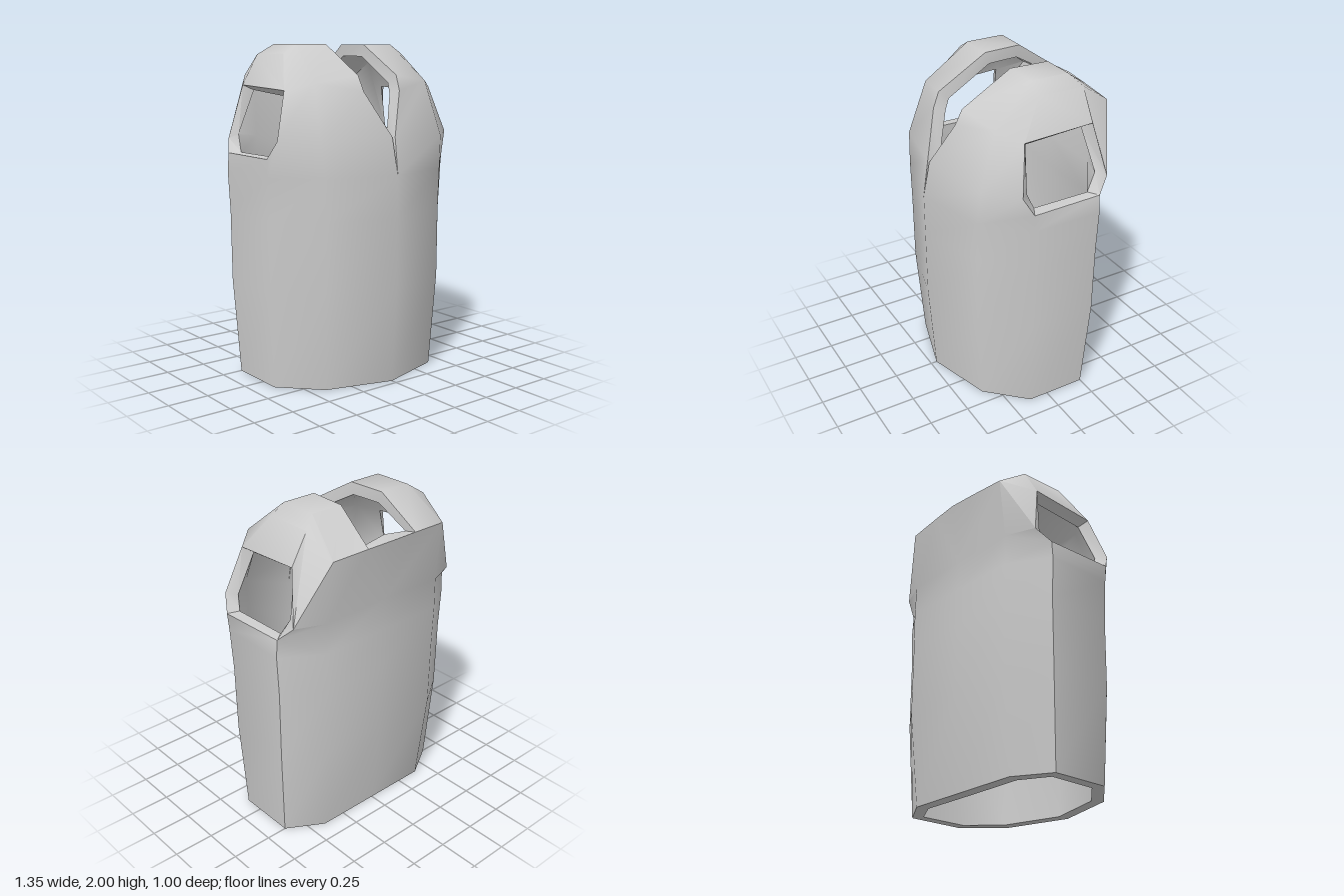
import * as THREE from 'three';
import { toCreasedNormals } from 'three/addons/utils/BufferGeometryUtils.js';

const THICKNESS = 0.075;

// Named corners of the left half of the outer surface.
const corners = {
  // front neckline
  V1: [0.01, 1.47, 0.46], V2: [0.135, 1.73, 0.35], V3: [0.143, 1.82, 0.31],
  // chest
  F1: [0.455, 1.45, 0.37], F2: [0.42, 1.78, 0.26],
  // armhole
  B2: [0.675, 1.36, 0.155], H1: [0.64, 1.46, 0.21], H3: [0.55, 1.74, 0.15],
  H4: [0.55, 1.76, -0.29], H2: [0.61, 1.44, -0.365], B3: [0.66, 1.36, -0.285],
  // shoulder strap
  T0: [0.143, 2, 0], T1: [0.36, 2, 0], T2: [0.45, 1.945, 0],
  S0: [0.155, 2, -0.24], S1: [0.36, 2, -0.24], S2: [0.445, 1.94, -0.29],
  // back
  N0: [0, 1.83, -0.5], N1: [0.18, 1.825, -0.49], N2: [0.42, 1.815, -0.475],
  K0: [0, 1.45, -0.437], K1: [0.43, 1.44, -0.437],
};

const faces = [
  'L30 L31 F1 V1', 'L31 L32 B2 H1', 'L31 H1 F1', 'L32 L33 B3 B2',
  'V1 F1 F2 V2', 'V2 F2 V3', 'F1 H1 H3 F2', 'V3 F2 T1 T0', 'F2 H3 T2 T1',
  'T0 T1 S1 S0', 'T1 T2 S2 S1', 'T2 H3 H4 S2',
  'S0 S1 N2 N1', 'S1 S2 N2', 'S2 H4 H2 N2', 'N2 H2 K1',
  'N1 N2 K1 K0', 'N0 N1 K0',
  'B3 L33 L34', 'B3 L34 K1', 'B3 K1 H2', 'L34 L35 K0 K1',
].map((f) => f.split(' '));

// Lower body rings: height, half width, front z, side front z, side back z, back z
[
  [0, 0.62, 0.462, 0.12, -0.25, -0.38],
  [0.58, 0.652, 0.5, 0.14, -0.28, -0.435],
  [1.0, 0.655, 0.5, 0.145, -0.283, -0.437],
  [1.25, 0.668, 0.5, 0.15, -0.285, -0.437],
].forEach(([y, w, front, sf, sb, back], i) => {
  [[0, front], [w * 0.655, front - 0.118], [w, sf], [w, sb], [w * 0.65, back], [0, back]]
    .forEach(([x, z], j) => { corners[`L${i}${j}`] = [x, y, z]; });
  for (let j = 0; i < 3 && j < 5; j++) {
    faces.push([`L${i}${j}`, `L${i}${j + 1}`, `L${i + 1}${j + 1}`, `L${i + 1}${j}`]);
  }
});

// Mirrors the half surface into a list of points and triangles.
function mirrorSurface() {
  const points = [], triangles = [];
  const ids = [{}, {}];
  for (const [name, [x, y, z]] of Object.entries(corners)) {
    ids[0][name] = points.push(new THREE.Vector3(x, y, z)) - 1;
    ids[1][name] = x === 0 ? ids[0][name] : points.push(new THREE.Vector3(-x, y, z)) - 1;
  }
  ids.forEach((id, side) => {
    for (const face of faces) {
      const f = face.map((n) => id[n]);
      if (side) f.reverse();
      for (let k = 1; k < f.length - 1; k++) triangles.push([f[0], f[k], f[k + 1]]);
    }
  });
  return { points, triangles };
}

// Gives a surface thickness: an inner wall plus rims along every open edge.
function thicken({ points, triangles }) {
  const sums = points.map(() => new THREE.Vector3());
  const edges = new Set();
  for (const t of triangles) {
    const normal = new THREE.Triangle(...t.map((i) => points[i])).getNormal(new THREE.Vector3());
    t.forEach((a, k) => {
      const b = t[(k + 1) % 3], c = t[(k + 2) % 3];
      const u = points[b].clone().sub(points[a]), v = points[c].clone().sub(points[a]);
      sums[a].addScaledVector(normal, u.angleTo(v));
      edges.add(`${a},${b}`);
    });
  }
  const inner = points.map((p, i) => {
    const n = sums[i];
    if (p.y === 0) n.y = 0;
    const q = p.clone().addScaledVector(n.normalize(), -THICKNESS);
    // keep the two sides of the neckline apart
    q.x = p.x === 0 ? 0 : Math.sign(p.x) * Math.max(0.004, q.x * Math.sign(p.x));
    return q;
  });
  const all = [...points, ...inner], m = points.length;
  const index = triangles.flatMap(([a, b, c]) => [a, b, c, a + m, c + m, b + m]);
  for (const e of edges) {
    const [a, b] = e.split(',').map(Number);
    if (!edges.has(`${b},${a}`)) index.push(b, a, a + m, b, a + m, b + m);
  }
  const geometry = new THREE.BufferGeometry().setFromPoints(all);
  geometry.setIndex(index);
  return toCreasedNormals(geometry, 0.85);
}

export function createModel() {
  const group = new THREE.Group();
  group.name = 'vest';
  const material = new THREE.MeshStandardMaterial({ color: 0xcccccc });
  const shell = new THREE.Mesh(thicken(mirrorSurface()), material);
  shell.name = 'vestShell';
  group.add(shell);
  return group;
}
